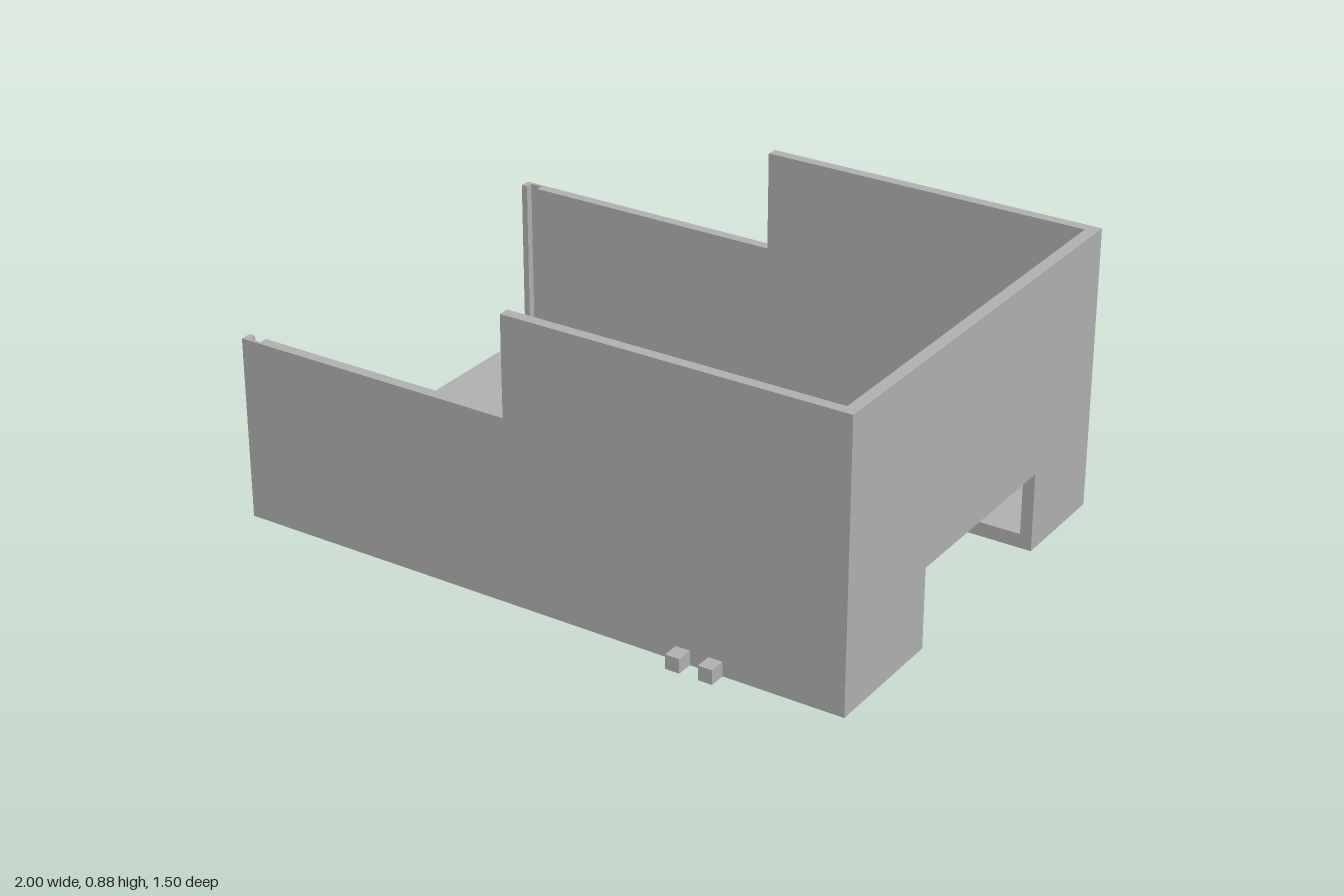
import * as THREE from 'three';

const grey = new THREE.MeshStandardMaterial({ color: 0xb2b2b2 });
grey.name = 'plain grey';

// Extrudes a closed outline of [x, y] points from z = 0 to z = depth
function plate(name, points, depth) {
  const shape = new THREE.Shape(points.map(([x, y]) => new THREE.Vector2(x, y)));
  const mesh = new THREE.Mesh(new THREE.ExtrudeGeometry(shape, { depth, bevelEnabled: false }), grey);
  mesh.name = name;
  return mesh;
}

export function createModel() {
  const group = new THREE.Group();
  group.name = 'openTray';

  const outerZ = 0.698, innerZ = 0.664, grooveZ = 0.688; // side wall faces and groove bottom
  const endX = 0.963, stepX = -0.083;
  const lowTop = 0.575, highTop = 0.885, floorTop = 0.045;
  const cutBack = -0.36, cutFront = 0.28, cutTop = 0.25, cutX = -0.69;

  // Floor: U-shaped, drawn in x / -z and laid flat
  const floor = plate('floor', [
    [-1, -innerZ], [endX, -innerZ], [endX, -cutFront], [cutX, -cutFront],
    [cutX, -cutBack], [endX, -cutBack], [endX, innerZ], [-1, innerZ],
  ], floorTop);
  floor.rotation.x = -Math.PI / 2;
  group.add(floor);

  // End wall with the rectangular opening, drawn in -z / y
  const endWall = plate('endWall', [
    [-innerZ, 0], [-cutFront, 0], [-cutFront, cutTop], [-cutBack, cutTop],
    [-cutBack, 0], [innerZ, 0], [innerZ, highTop], [-innerZ, highTop],
  ], 1 - endX);
  endWall.rotation.y = Math.PI / 2;
  endWall.position.x = endX;
  group.add(endWall);

  // Stepped side walls: full outer skin plus inner skin with a vertical slot
  const base = [[-1, 0], [1, 0], [1, highTop], [stepX, highTop], [stepX, lowTop]];
  const slot = [[-0.94, lowTop], [-0.94, 0.08], [-0.98, 0.08], [-0.98, lowTop]];
  for (const side of [1, -1]) {
    const label = side > 0 ? 'front' : 'back';
    const skin = plate(label + 'WallOuter', [...base, [-1, lowTop]], outerZ - grooveZ);
    skin.position.z = side > 0 ? grooveZ : -outerZ;
    const lining = plate(label + 'WallInner', [...base, ...slot, [-1, lowTop]], grooveZ - innerZ);
    lining.position.z = side > 0 ? innerZ : -grooveZ;
    group.add(skin, lining);

    // Pair of small lugs at the foot of the wall
    for (const x of [0.498, 0.602]) {
      const lug = new THREE.Mesh(new THREE.BoxGeometry(0.045, 0.045, 0.75 - outerZ), grey);
      lug.name = label + 'Lug';
      lug.position.set(x, 0.0225, side * (0.75 + outerZ) / 2);
      group.add(lug);
    }
  }
  return group;
}
